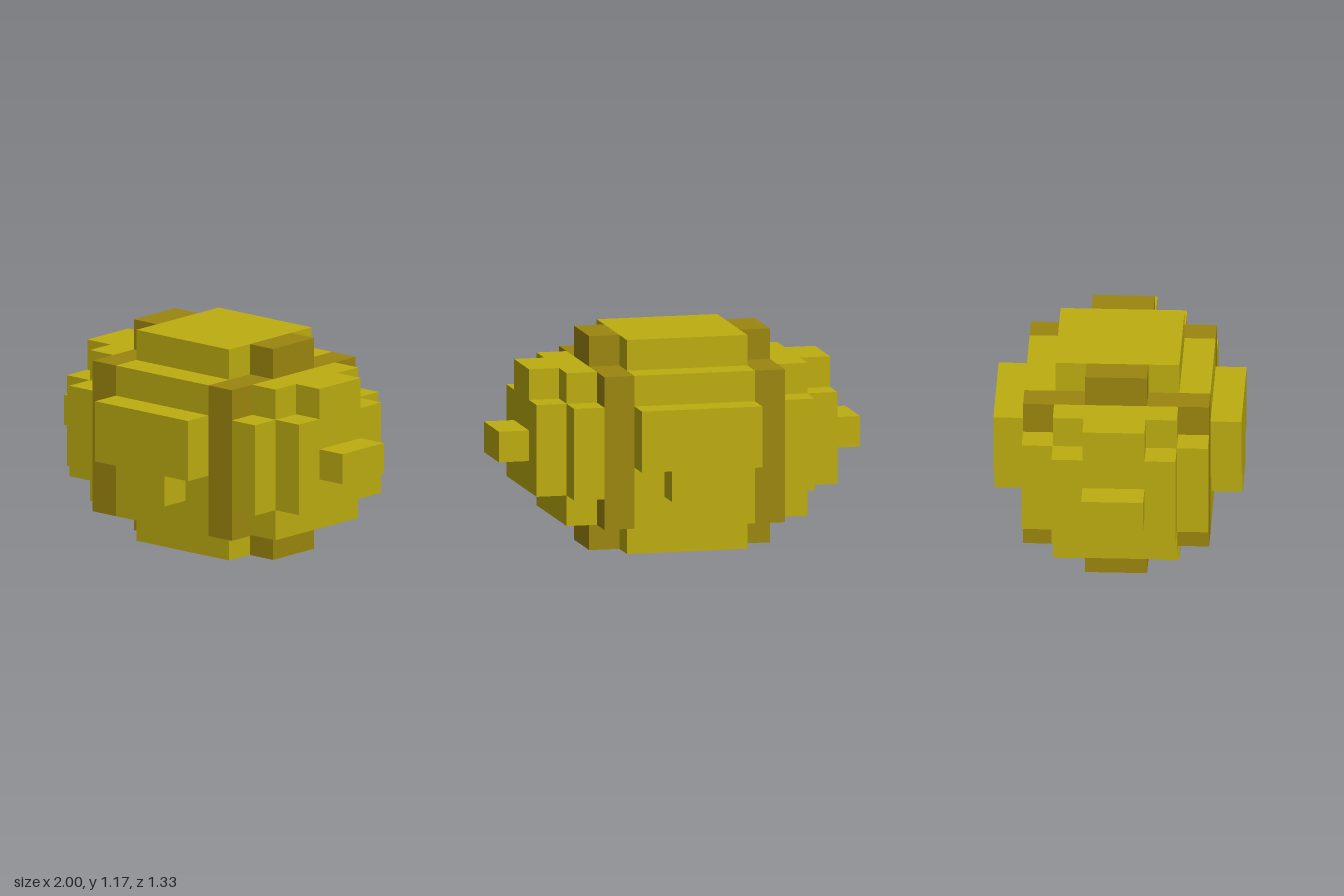
import * as THREE from 'three';

const U = 1 / 6; // edge of one block

export function createModel() {
  const model = new THREE.Group();
  model.name = 'blockBarrel';
  const yellow = new THREE.MeshStandardMaterial({ color: 0xbdad10 });
  yellow.name = 'mustardYellow';
  const brown = new THREE.MeshStandardMaterial({ color: 0x9c860f });
  brown.name = 'darkMustard';

  // Box given by its block ranges on each axis
  function block(parent, name, material, [x0, x1], [y0, y1], [z0, z1]) {
    const geometry = new THREE.BoxGeometry((x1 - x0) * U, (y1 - y0) * U, (z1 - z0) * U);
    geometry.translate((x0 + x1) * U / 2, (y0 + y1) * U / 2, (z0 + z1) * U / 2);
    const mesh = new THREE.Mesh(geometry, material);
    mesh.name = name;
    parent.add(mesh);
  }

  // Central body with raised top and base
  block(model, 'body', yellow, [-2, 2], [1, 6], [-3, 3]);
  block(model, 'topCap', yellow, [-2, 2], [6, 7], [-2, 2]);
  block(model, 'base', yellow, [-2, 2], [0, 1], [-2, 2]);

  // Front and back plates, each with a narrower tab below
  for (const [side, z] of [['front', [3, 4]], ['back', [-4, -3]]]) {
    block(model, side + 'Plate', yellow, [-2, 2], [3, 5], z);
    block(model, side + 'Tab', yellow, [-1, 1], [2, 3], z);
  }

  // Mirrored dark bands and stepped ends
  for (const [side, s] of [['left', 1], ['right', -1]]) {
    const group = new THREE.Group();
    group.name = side + 'End';
    const span = (a, b) => (s > 0 ? [a, b] : [-b, -a]);
    block(group, 'band', brown, span(2, 3), [1, 6], [-3, 3]);
    block(group, 'bandTop', brown, span(2, 3), [6, 7], [-1, 1]);
    block(group, 'bandBase', brown, span(2, 3), [0, 1], [-1, 1]);
    block(group, 'shoulder', yellow, span(3, 4), [2, 5], [-3, 3]);
    block(group, 'shoulderCore', yellow, span(3, 4), [1, 6], [-2, 2]);
    block(group, 'cheek', yellow, span(4, 5), [2, 5], [-2, 2]);
    block(group, 'cheekTop', yellow, span(3, 5), [5, 6], [-1, 1]);
    block(group, 'knob', yellow, span(5, 6), [3, 4], [-1, 1]);
    model.add(group);
  }
  return model;
}
